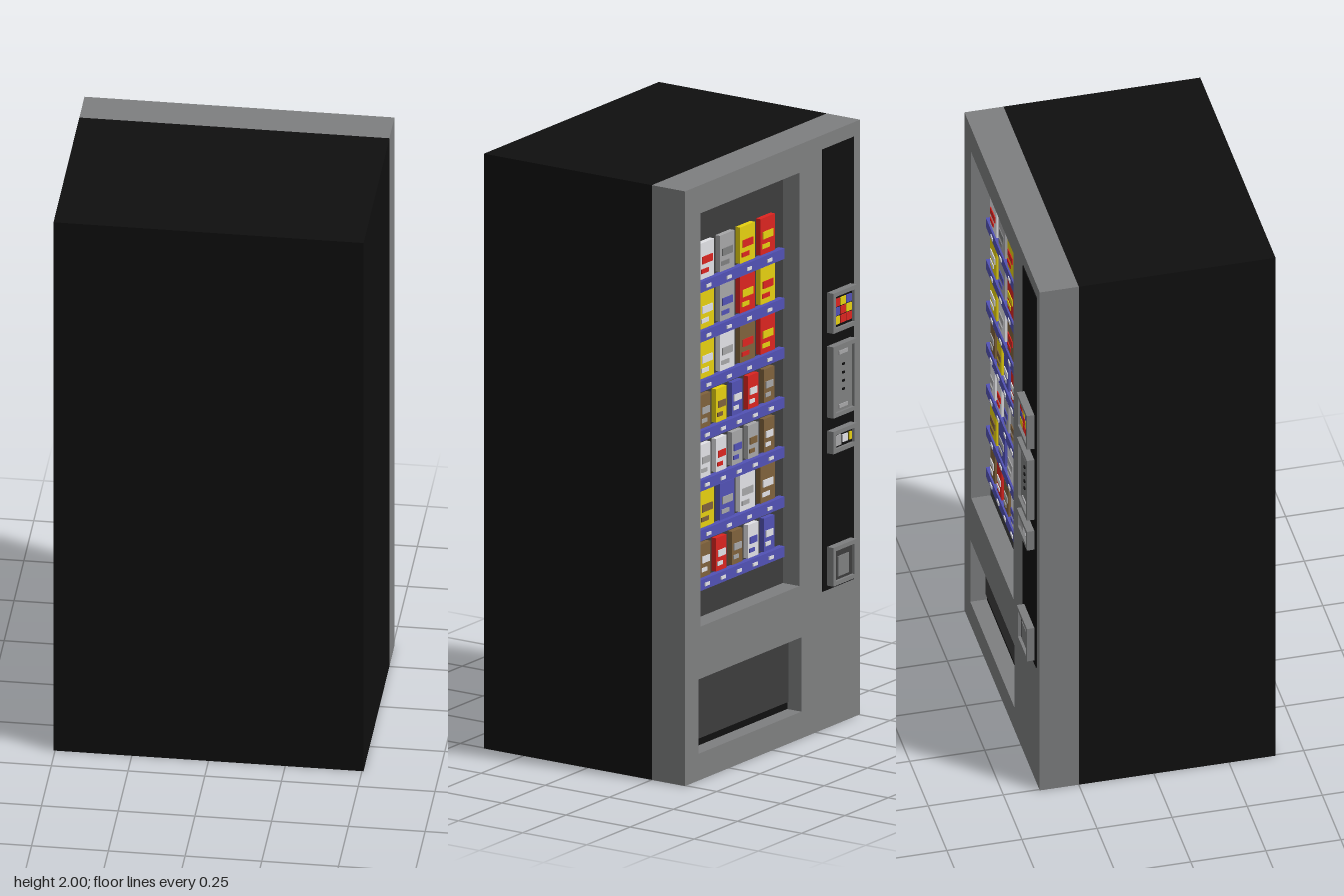
import * as THREE from 'three';

const mat = (name, color) => {
  const m = new THREE.MeshStandardMaterial({ color });
  m.name = name;
  return m;
};

export function createModel() {
  const black = mat('black', 0x0f0f0f), grey = mat('frame grey', 0x7e7f80);
  const dark = mat('dark panel', 0x3c3c3c), violet = mat('shelf violet', 0x5252b4);
  const yellow = mat('yellow', 0xe6d010), red = mat('red', 0xdc2420);
  const white = mat('white', 0xe2e2e6), brown = mat('brown', 0x80623c);
  const silver = mat('silver', 0xa6a6a8);
  const palette = { w: white, y: yellow, r: red, v: violet, b: brown, s: silver, g: grey };

  const root = new THREE.Group();
  root.name = 'vendingMachine';
  const group = (name) => {
    const g = new THREE.Group();
    g.name = name;
    root.add(g);
    return g;
  };
  // Box given by its limits on each axis
  const box = (parent, name, m, x0, x1, y0, y1, z0, z1) => {
    const mesh = new THREE.Mesh(new THREE.BoxGeometry(x1 - x0, y1 - y0, z1 - z0), m);
    mesh.position.set((x0 + x1) / 2, (y0 + y1) / 2, (z0 + z1) / 2);
    mesh.name = name;
    parent.add(mesh);
    return mesh;
  };
  // Rectangle outline, used for the door, its openings and raised rims
  const rect = (P, x0, x1, y0, y1) => {
    const p = new P();
    p.moveTo(x0, y0).lineTo(x1, y0).lineTo(x1, y1).lineTo(x0, y1).closePath();
    return p;
  };
  const framed = (parent, name, m, outer, holes, z0, z1) => {
    const shape = rect(THREE.Shape, ...outer);
    holes.forEach((h) => shape.holes.push(rect(THREE.Path, ...h)));
    const geo = new THREE.ExtrudeGeometry(shape, { depth: z1 - z0, bevelEnabled: false });
    const mesh = new THREE.Mesh(geo, m);
    mesh.position.z = z0;
    mesh.name = name;
    parent.add(mesh);
  };

  // Cabinet and door; the door is on the -z side
  const W = 0.505, FRONT = -0.38, PANE = -0.315;
  box(root, 'cabinet', black, -W, W, 0, 2, -0.25, 0.405);
  const win = [-0.155, 0.415, 0.515, 1.905], tray = [-0.166, 0.427, 0.09, 0.34];
  framed(root, 'doorFrame', grey, [-W, W, 0, 2], [win, tray], FRONT, -0.25);
  box(root, 'windowPanel', dark, ...win, PANE, -0.26);
  box(root, 'trayFlap', dark, tray[0], tray[1], 0.115, tray[3], -0.33, -0.26);
  box(root, 'trayGap', black, tray[0], tray[1], tray[2], 0.115, -0.325, -0.26);

  // Stock: one string per shelf, each item is body colour + label colour
  const rows = [
    'wr sg yr ry', 'yw sv ry yr', 'yw ws br ry', 'bs yb vw rw bs',
    'ws wr sv sb bw', 'yb vs ws bw', 'bw rw bs wv vw',
  ];
  const shelves = group('shelves'), products = group('products');
  rows.forEach((row, r) => {
    const items = row.split(' ');
    const y = 1.632 - r * 0.167, n = items.length;
    box(shelves, 'shelf', violet, -0.132, 0.392, y - 0.018, y + 0.018, -0.337, PANE);
    const pitch = n === 4 ? 0.117 : 0.092, half = n === 4 ? 0.042 : 0.03;
    items.forEach((item, i) => {
      const x = 0.134 + ((n - 1) / 2 - i) * pitch;
      const [body, label] = [...item].map((c) => palette[c]);
      const base = y + 0.024, top = y + (n === 4 ? 0.146 : 0.136);
      const h = top - base;
      box(products, 'product', body, x - half, x + half, base, top, -0.333, PANE);
      // Staggered label blocks
      box(products, 'label', label, x - half * 0.7, x + half * 0.7, base + h * 0.42, base + h * 0.62, -0.336, -0.332);
      box(products, 'label', label, x - half * 0.2, x + half * 0.8, base + h * 0.16, base + h * 0.28, -0.336, -0.332);
      box(shelves, 'priceTag', white, x - 0.016, x + 0.01, y - 0.007, y + 0.004, -0.34, -0.336);
    });
  });

  // Control column
  box(root, 'controlStrip', black, -0.466, -0.285, 0.465, 1.952, FRONT - 0.003, FRONT + 0.01);
  const X0 = -0.445, X1 = -0.31, OUT = -0.408, FACE = -0.398;
  const controls = group('controls');
  const module = (name, y0, y1, face) => {
    const t = 0.014;
    framed(controls, name + 'Rim', grey, [X0, X1, y0, y1], [[X0 + t, X1 - t, y0 + t, y1 - t]], OUT, FRONT);
    box(controls, name + 'Face', face, X0 + t, X1 - t, y0 + t, y1 - t, FACE, FRONT);
  };
  const plate = (name, m, x0, x1, y0, y1) =>
    box(controls, name, m, x0, x1, y0, y1, FACE - 0.004, FACE + 0.001);

  // Keypad with coloured keys
  module('keypad', 1.33, 1.465, black);
  ['ryv', 'vry', 'yrr'].forEach((line, r) => [...line].forEach((c, i) => {
    const x = -0.342 - i * 0.034, y = 1.427 - r * 0.03;
    plate('key', palette[c], x - 0.015, x + 0.015, y - 0.013, y + 0.013);
  }));

  // Payment panel with indicator marks
  module('paymentPanel', 1.045, 1.285, grey);
  for (const y of [1.075, 1.255]) plate('panelLabel', silver, -0.402, -0.352, y - 0.006, y + 0.006);
  for (let i = 0; i < 4; i++) {
    plate('panelMark', black, -0.386, -0.374, 1.125 + i * 0.028, 1.132 + i * 0.028);
  }

  // Note slot
  module('noteSlot', 0.925, 1.0, black);
  plate('noteLabel', silver, -0.366, -0.33, 0.945, 0.98);
  plate('noteMouth', white, -0.402, -0.374, 0.95, 0.976);
  plate('noteLight', yellow, -0.425, -0.41, 0.95, 0.976);

  // Coin return cup
  module('coinReturn', 0.48, 0.61, dark);
  plate('coinFlap', grey, -0.408, -0.347, 0.505, 0.572);

  return root;
}
